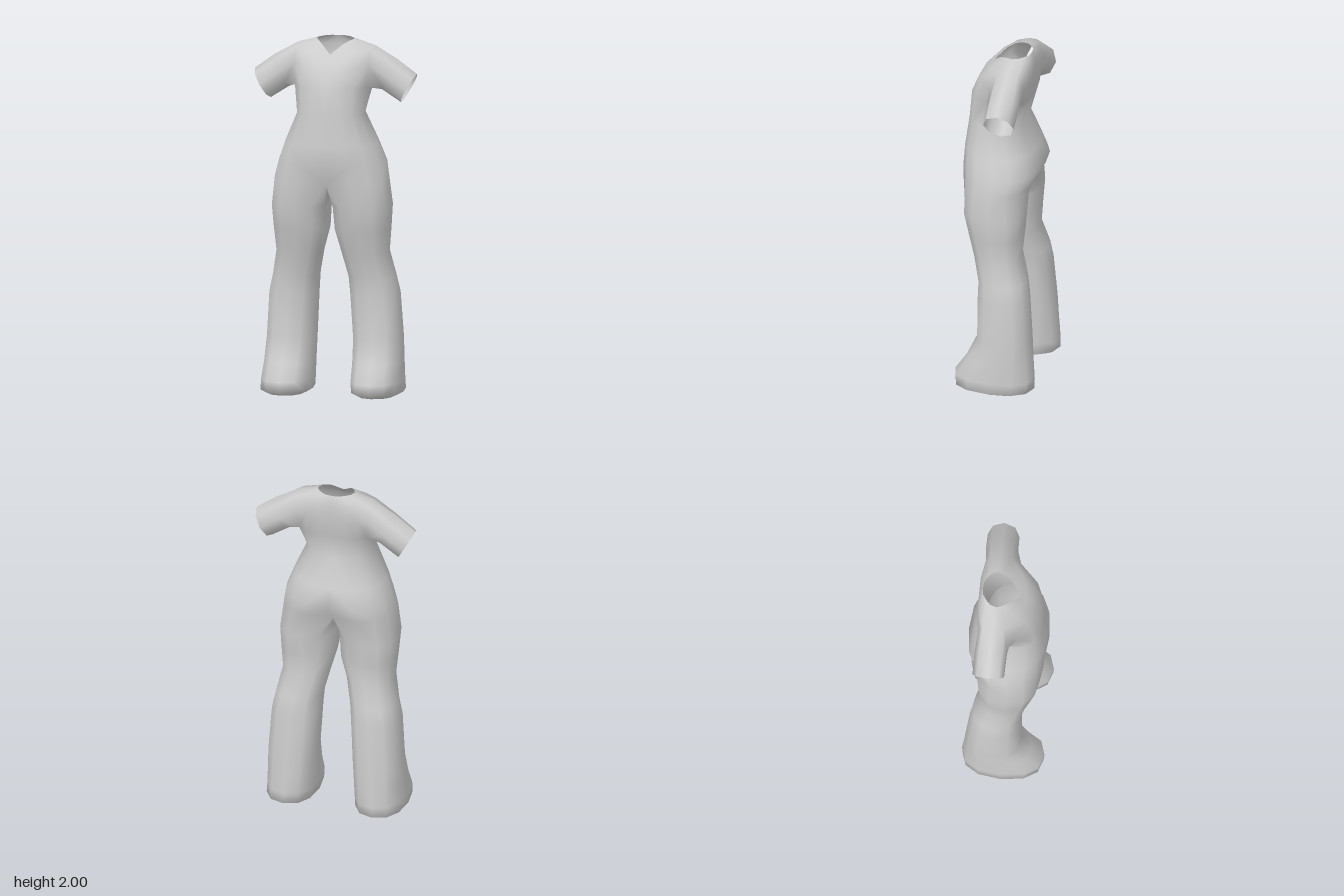
import * as THREE from 'three';
import { mergeVertices } from 'three/addons/utils/BufferGeometryUtils.js';

const V = (x, y, z) => new THREE.Vector3(x, y, z);
const softPow = (v) => Math.sign(v) * Math.abs(v) ** 0.85;

// Half of a torso ring: nine points from the front centre round the +x side to the back centre
function torsoRow([y, halfWidth, front, back]) {
  return Array.from({ length: 9 }, (_, j) => {
    const t = (j * Math.PI) / 8;
    return V(j % 8 ? halfWidth * softPow(Math.sin(t)) : 0, y,
      (front + back) / 2 + ((front - back) / 2) * softPow(Math.cos(t)));
  });
}

// Full leg ring of twelve points, starting at the inner front
function legRing([y, inner, outer, front, back]) {
  return Array.from({ length: 12 }, (_, j) => {
    const t = ((j - 1) * Math.PI) / 6;
    return V((inner + outer) / 2 + ((outer - inner) / 2) * softPow(Math.sin(t)), y,
      (front + back) / 2 + ((front - back) / 2) * softPow(Math.cos(t)));
  });
}

// Sleeve ring of eight points, starting at the lower front
function sleeveRing(cx, cy, cz, ux, uy, depth) {
  return Array.from({ length: 8 }, (_, k) => {
    const t = ((k - 1) * Math.PI) / 4;
    return V(cx - ux * Math.cos(t), cy - uy * Math.cos(t), cz - depth * Math.sin(t));
  });
}

function buildGarment() {
  const positions = [];
  const triangle = (a, b, c) => {
    for (const p of [a, b, c]) positions.push(p.x, p.y, p.z);
    // mirrored copy with reversed winding
    for (const p of [a, c, b]) positions.push(-p.x, p.y, p.z);
  };
  const strip = (lo, hi, closed, skip = () => false) => {
    const n = lo.length;
    for (let j = 0; j < (closed ? n : n - 1); j++) {
      if (skip(j)) continue;
      const k = (j + 1) % n;
      triangle(lo[j], lo[k], hi[k]);
      triangle(lo[j], hi[k], hi[j]);
    }
  };

  // Hips and waist
  const lower = [
    [1.23, 0.325, 0.225, -0.18],
    [1.32, 0.305, 0.23, -0.218],
    [1.43, 0.265, 0.225, -0.18],
    [1.6, 0.19, 0.205, -0.12],
  ].map(torsoRow);
  lower[0][0].set(0, 1.21, 0.175);
  lower[0][8].set(0, 1.22, -0.13);

  // Chest, shoulders and V neckline
  const upper = [
    [[0, 1.75, 0.19], [0.07, 1.75, 0.185], [0.15, 1.75, 0.15], [0.2, 1.75, 0.07], [0.215, 1.74, -0.04],
      [0.2, 1.75, -0.11], [0.15, 1.75, -0.14], [0.08, 1.75, -0.15], [0, 1.75, -0.15]],
    [[0, 1.86, 0.14], [0.07, 1.86, 0.14], [0.14, 1.87, 0.115], [0.21, 1.87, 0.05], [0.22, 1.87, -0.05],
      [0.21, 1.87, -0.145], [0.15, 1.87, -0.155], [0.08, 1.87, -0.16], [0, 1.87, -0.16]],
    [[0, 1.895, 0.105], [0.06, 1.915, 0.09], [0.13, 1.935, 0.06], [0.21, 1.95, 0], [0.21, 1.97, -0.06],
      [0.21, 1.955, -0.12], [0.15, 1.96, -0.145], [0.08, 1.95, -0.16], [0, 1.95, -0.16]],
    [[0, 1.925, 0.075], [0.03, 1.95, 0.048], [0.06, 1.975, 0.02], [0.09, 1.992, -0.02], [0.105, 1.995, -0.055],
      [0.095, 1.998, -0.09], [0.07, 2, -0.115], [0.04, 2, -0.135], [0, 2, -0.14]],
  ].map((row) => row.map((p) => V(...p)));

  // Torso skin, leaving an armhole on each side
  const torso = [...lower, ...upper];
  for (let r = 0; r < torso.length - 1; r++) {
    const besideArm = r === 4 || r === 5;
    strip(torso[r], torso[r + 1], false, (j) => besideArm && (j === 3 || j === 4));
  }

  // Sleeves grow from the armhole loop and stay open at the cuff
  const [a, b, c] = upper;
  const armhole = [a[3], a[4], a[5], b[5], c[5], c[4], c[3], b[3]];
  const sleeve = [
    armhole,
    sleeveRing(0.303, 1.807, -0.065, 0.042, 0.088, 0.09),
    sleeveRing(0.415, 1.73, -0.068, 0.045, 0.081, 0.088),
  ];
  for (let i = 0; i < 2; i++) strip(sleeve[i], sleeve[i + 1], true);

  // Legs grow from the half hip ring closed by the crotch seam
  const legs = [
    [...lower[0], V(0, 1.18, -0.07), V(0, 1.17, 0), V(0, 1.18, 0.08)],
    ...[
      [1.08, 0.006, 0.34, 0.195, -0.158],
      [0.95, 0.014, 0.332, 0.165, -0.146],
      [0.82, 0.05, 0.32, 0.133, -0.135],
      [0.68, 0.082, 0.348, 0.1, -0.175],
      [0.58, 0.09, 0.37, 0.1, -0.19],
      [0.33, 0.105, 0.385, 0.1, -0.21],
      [0.2, 0.11, 0.39, 0.16, -0.22],
      [0.1, 0.112, 0.396, 0.228, -0.23],
      [0.04, 0.115, 0.4, 0.225, -0.228],
      [0.018, 0.15, 0.36, 0.17, -0.185],
    ].map(legRing),
    Array.from({ length: 12 }, () => V(0.26, 0, 0.03)), // sole centre
  ];
  for (let i = 0; i < legs.length - 1; i++) strip(legs[i + 1], legs[i], true);

  const soup = new THREE.BufferGeometry();
  soup.setAttribute('position', new THREE.Float32BufferAttribute(positions, 3));
  const geometry = mergeVertices(soup, 1e-4);
  geometry.computeVertexNormals();
  return geometry;
}

export function createModel() {
  const fabric = new THREE.MeshStandardMaterial({ color: 0xcccccc, side: THREE.DoubleSide });
  fabric.name = 'light grey fabric';
  const garment = new THREE.Mesh(buildGarment(), fabric);
  garment.name = 'jumpsuit';
  const group = new THREE.Group();
  group.name = 'shortSleevedJumpsuit';
  group.add(garment);
  return group;
}
